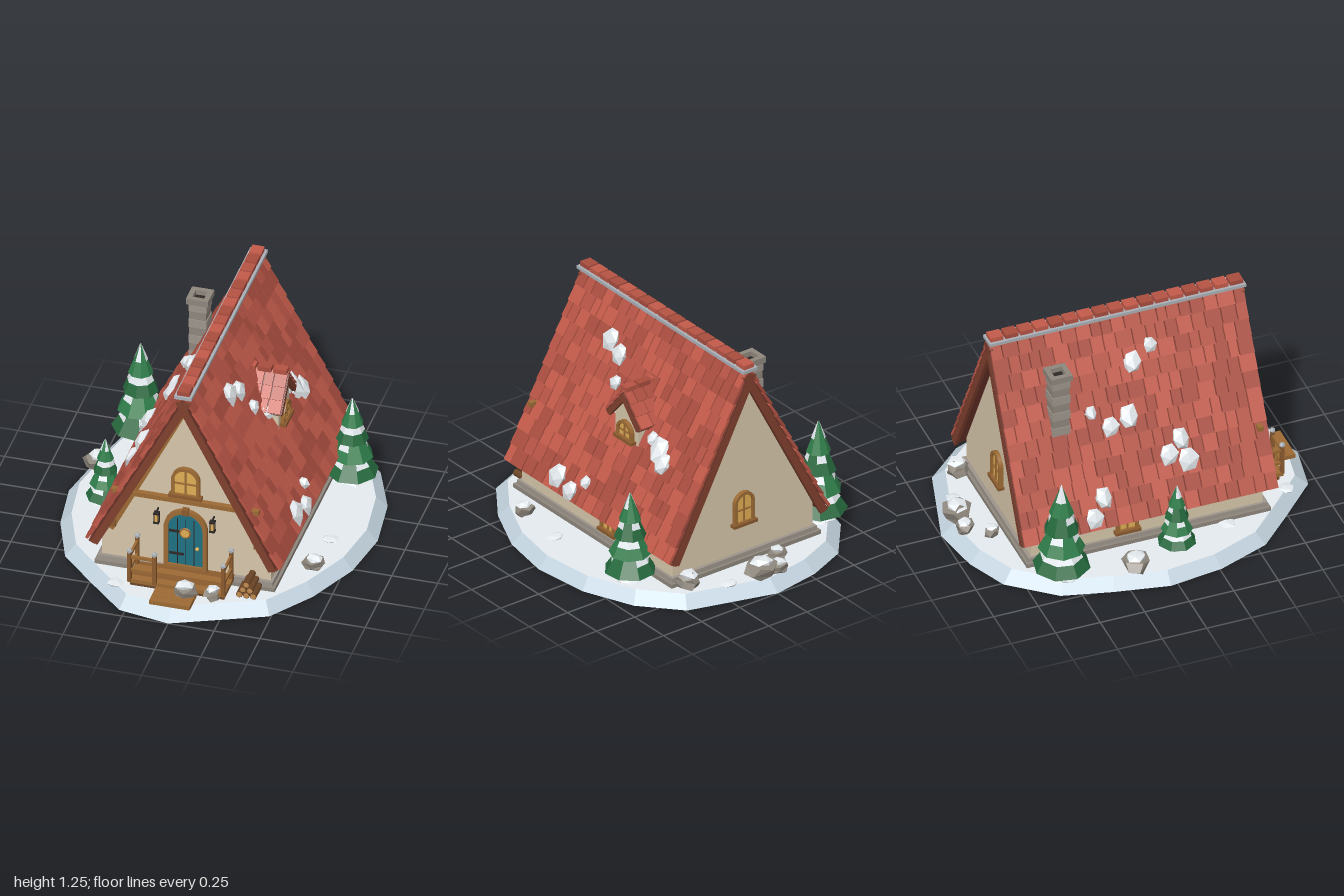
import * as THREE from 'three';
import { mergeGeometries } from 'three/addons/utils/BufferGeometryUtils.js';

const C = { snow: 0xe4eaee, ice: 0xc3d3de, wall: 0xd6c6aa, wood: 0x9c6a34, timber: 0x8a5a2e, bark: 0x6b4526, dark: 0x2b2826,
  stone: 0x8d867c, block: 0x9d958b, tiles: [0xc25a49, 0xa84c3e, 0xb55344], under: 0x6a3328, barge: 0x80402f,
  teal: 0x1f7182, gold: 0xdfae55, leaf: 0x2f7d4a, leafDark: 0x25693d, cap: 0xa9b0b6 };

let seed = 7;
const rnd = () => (seed = (seed * 16807) % 2147483647) / 2147483647;
const mat = (color, side = THREE.FrontSide) => new THREE.MeshStandardMaterial({ color, flatShading: true, side });

function add(parent, name, geo, color, x = 0, y = 0, z = 0) {
  const m = new THREE.Mesh(geo, mat(color));
  m.name = name;
  m.position.set(x, y, z);
  parent.add(m);
  return m;
}
const box = (p, name, color, w, h, d, x, y, z) => add(p, name, new THREE.BoxGeometry(w, h, d), color, x, y, z);
const extrude = (shape, depth) => new THREE.ExtrudeGeometry(shape, { depth, bevelEnabled: false, curveSegments: 10 });
const polygon = (pts) => new THREE.Shape(pts.map(([x, y]) => new THREE.Vector2(x, y)));
function group(parent, name, x = 0, y = 0, z = 0, ry = 0) {
  const g = new THREE.Group();
  g.name = name;
  g.position.set(x, y, z);
  g.rotation.y = ry;
  parent.add(g);
  return g;
}

// Arched outline standing on y = y0
function arch(w, h, y0 = 0) {
  const s = new THREE.Shape(), r = w / 2;
  s.moveTo(-r, y0);
  s.lineTo(r, y0);
  s.lineTo(r, y0 + h - r);
  s.absarc(0, y0 + h - r, r, 0, Math.PI, false);
  s.lineTo(-r, y0);
  return s;
}

// Arched frame with a filled pane, facing +z
function archOpening(parent, name, w, h, fill, x, y, z, ry = 0, t = 0.02) {
  const g = group(parent, name, x, y, z, ry);
  const frame = arch(w, h);
  frame.holes.push(arch(w - 2 * t, h - 2 * t, t));
  add(g, 'frame', extrude(frame, 0.032), C.wood, 0, 0, -0.008);
  add(g, 'panel', extrude(arch(w - 1.6 * t, h - 1.6 * t, t * 0.8), 0.018), fill, 0, 0, -0.006);
  return g;
}
function archWindow(parent, w, h, x, y, z, ry) {
  const g = archOpening(parent, 'window', w, h, C.gold, x, y, z, ry, 0.017);
  box(g, 'mullion', C.wood, 0.008, h - 0.02, 0.01, 0, h / 2, 0.014);
  box(g, 'transom', C.wood, w - 0.02, 0.008, 0.01, 0, h * 0.45, 0.014);
  box(g, 'sill', C.timber, w + 0.025, 0.018, 0.045, 0, 0.004, 0.012);
}

// Irregular lump: corners pushed in or out by a rule
function lump(geo, phase) {
  const p = geo.attributes.position;
  for (let i = 0; i < p.count; i++) {
    const x = p.getX(i), y = p.getY(i), z = p.getZ(i);
    const k = 1 + 0.16 * Math.sin(5 * x + 3 * y + 7 * z + phase);
    p.setXYZ(i, x * k, y * k, z * k);
  }
  geo.computeVertexNormals();
  return geo;
}
function snowPatch(parent, x, y, z, r, h) {
  add(parent, 'snowPatch', lump(new THREE.IcosahedronGeometry(1, 0), x * 40 + z * 9), C.snow, x, y, z).scale.set(r, h, r * 0.85);
}

// Tiled roof with two slopes, ridge along z
function gableRoof(parent, apexY, angle, len, depth, rows, tileW, t) {
  const roof = group(parent, 'roof');
  const slopes = [0, Math.PI].map((ry) => {
    const side = group(roof, 'roofSide', 0, apexY, 0, ry);
    const s = group(side, 'slope');
    s.rotation.z = -angle;
    box(s, 'roofDeck', C.under, len, t, depth, len / 2, -t / 2, 0);
    const sets = [[], [], []], pitch = len / rows;
    for (let r = 0; r < rows; r++) {
      let z = -depth / 2;
      while (z < depth / 2 - 0.001) {
        let w = tileW * (0.7 + 0.6 * rnd());
        if (depth / 2 - z - w < tileW * 0.5) w = depth / 2 - z;
        const g = new THREE.BoxGeometry(pitch * 1.08, t * 0.45, w - 0.007);
        g.rotateZ(0.09);
        g.translate((r + 0.5) * pitch, t * 0.42 + rnd() * 0.003, z + w / 2);
        sets[Math.floor(rnd() * 3)].push(g);
        z += w;
      }
    }
    sets.forEach((set, i) => set.length && add(s, 'tiles', mergeGeometries(set), C.tiles[i]));
    for (const e of [-1, 1]) box(s, 'bargeBoard', C.barge, len, t * 1.25, 0.02, len / 2, -t * 0.8, e * (depth / 2 - 0.008));
    box(s, 'fascia', C.barge, 0.012, t * 1.1, depth, len, -t * 0.4, 0);
    return s;
  });
  const n = Math.round(depth / 0.085), step = depth / n;
  for (let i = 0; i < n; i++)
    box(roof, 'ridgeTile', C.tiles[i % 3], t * 2, t * 1.1, step - 0.012, 0, apexY + t * 0.95, -depth / 2 + (i + 0.5) * step);
  return slopes;
}

function tree(parent, x, z, h, r, turn) {
  const g = group(parent, 'pineTree', x, 0.06, z, turn), N = 8, seg = (2 * Math.PI) / N;
  add(g, 'trunk', new THREE.CylinderGeometry(r * 0.16, r * 0.22, h * 0.3, 7), C.bark, 0, h * 0.15, 0);
  add(g, 'snowMound', lump(new THREE.IcosahedronGeometry(1, 1), x), C.snow).scale.set(r * 0.6, 0.018, r * 0.6);
  [0.1, 0.3, 0.5, 0.69].forEach((f, i) => {
    const rb = r * (1 - 0.19 * i), rt = i === 3 ? 0 : rb * 0.4, th = i === 3 ? h * 0.31 : h * 0.25, y0 = h * f;
    const tier = add(g, 'branches', new THREE.CylinderGeometry(rt, rb, th, N), i % 2 ? C.leaf : C.leafDark, 0, y0 + th / 2, 0);
    tier.rotation.y = i * 0.3;
    // Snow lying on the upper part of some facets
    for (const k of [i, i + 3, i + 5]) {
      const c = new THREE.CylinderGeometry(rt + 0.003, rt + (rb - rt) * 0.55 + 0.003, th * 0.55, 1 + (k % 2), 1, true, k * seg, (1 + (k % 2)) * seg);
      const m = add(g, 'branchSnow', c, C.snow, 0, y0 + th * 0.73, 0);
      m.material.side = THREE.DoubleSide;
      m.rotation.y = i * 0.3;
    }
  });
}

function rock(parent, x, z, r, h) {
  const g = group(parent, 'rock', x, 0.06, z, x * 5);
  add(g, 'stone', lump(new THREE.DodecahedronGeometry(1, 0), x * 9), C.stone, 0, h * 0.4, 0).scale.set(r, h * 0.52, r * 0.85);
  add(g, 'snowCap', lump(new THREE.IcosahedronGeometry(1, 0), z * 9), C.snow, 0, h * 0.77, 0).scale.set(r * 0.78, h * 0.25, r * 0.66);
}

export function createModel() {
  const model = new THREE.Group();
  model.name = 'snowyCabin';

  // Snowy ground slab with sloping rim
  const rim = [[0, -1], [0.49, -0.86], [0.68, -0.65], [0.8, -0.365], [0.84, -0.04], [0.79, 0.26], [0.66, 0.55], [0.49, 0.79], [0, 1],
    [-0.28, 0.95], [-0.5, 0.74], [-0.69, 0.55], [-0.8, 0.26], [-0.84, -0.04], [-0.78, -0.34], [-0.71, -0.61], [-0.51, -0.85], [-0.28, -0.95]];
  const slab = extrude(polygon(rim.map(([x, z]) => [x, -z])), 0.062).rotateX(-Math.PI / 2);
  const sp = slab.attributes.position;
  for (let i = 0; i < sp.count; i++) if (sp.getY(i) > 0.03) sp.setXYZ(i, sp.getX(i) * 0.93, sp.getY(i), sp.getZ(i) * 0.93);
  slab.computeVertexNormals();
  add(model, 'ground', slab, C.snow).material = [mat(C.snow), mat(C.ice)];

  // House body
  const house = group(model, 'house', -0.01, 0, -0.03);
  box(house, 'footing', C.stone, 0.98, 0.03, 1.37, 0, 0.07, 0);
  box(house, 'foundation', C.block, 0.95, 0.03, 1.34, 0, 0.095, 0);
  const gable = polygon([[-0.46, 0.1], [0.46, 0.1], [0.46, 0.285], [0, 1.165], [-0.46, 0.285]]);
  add(house, 'walls', extrude(gable, 1.3), C.wall, 0, 0, -0.65);

  // Main roof, ridge strip and snow patches
  const angle = Math.atan2(1, 0.52);
  const [right, left] = gableRoof(house, 1.2, angle, 1.1, 1.43, 12, 0.075, 0.033);
  box(house, 'ridgeStrip', C.cap, 0.095, 0.018, 1.44, 0, 1.216, 0);
  for (const [z, y, r] of [[0.27, 1, 0.07], [0.17, 0.96, 0.06], [0.12, 0.835, 0.045], [0.02, 0.74, 0.045], [-0.29, 0.7, 0.04],
    [-0.36, 0.66, 0.08], [-0.42, 0.62, 0.07], [0.26, 0.31, 0.075], [0.135, 0.28, 0.06], [0.05, 0.35, 0.035]])
    snowPatch(right, (1.21 - y) / 0.887, 0.028, z + 0.03, r, 0.032);
  for (const [x, z, r] of [[-0.47, -0.27, 0.06], [-0.51, -0.34, 0.06], [-0.26, -0.26, 0.04], [-0.3, -0.17, 0.06], [-0.29, -0.06, 0.07],
    [-0.16, 0.01, 0.065], [-0.125, 0.12, 0.045], [-0.4, 0.12, 0.065], [-0.42, 0.22, 0.07], [-0.37, 0.2, 0.06]])
    snowPatch(left, (-x - 0.035) / 0.461, 0.028, -z - 0.03, r, 0.032);

  // Gable timbers
  for (const s of [-1, 1]) {
    box(house, 'gableTimber', C.wood, 0.026, 0.92, 0.025, s * 0.2, 0.7, 0.66).rotation.z = s * Math.atan2(0.4, 0.81);
    box(house, 'purlinEnd', C.timber, 0.06, 0.045, 0.05, s * 0.405, 0.335, 0.66);
    archWindow(house, 0.12, 0.16, s * 0.46, 0.14, -0.115, s * Math.PI / 2);
  }
  box(house, 'collarBeam', C.wood, 0.8, 0.026, 0.03, 0, 0.535, 0.665);
  archWindow(house, 0.155, 0.18, 0, 0.56, 0.65, 0);
  archWindow(house, 0.13, 0.19, 0, 0.28, -0.65, Math.PI);

  // Front door
  const door = archOpening(house, 'door', 0.235, 0.37, C.teal, 0, 0.105, 0.65, 0, 0.024);
  for (const x of [-0.045, 0, 0.045]) box(door, 'plankGroove', C.dark, 0.004, 0.29, 0.004, x, 0.165, 0.012);
  for (const y of [0.09, 0.23]) box(door, 'hinge', C.dark, 0.08, 0.012, 0.008, -0.05, y, 0.016);
  add(door, 'porthole', new THREE.CylinderGeometry(0.026, 0.026, 0.02, 12).rotateX(Math.PI / 2), C.gold, 0, 0.23, 0.018);
  add(door, 'portholeRing', new THREE.TorusGeometry(0.027, 0.006, 6, 12), C.wood, 0, 0.23, 0.024);
  add(door, 'knob', new THREE.IcosahedronGeometry(0.011, 1), C.gold, 0.065, 0.14, 0.022);
  box(door, 'keystone', C.timber, 0.035, 0.035, 0.045, 0, 0.362, 0.01);

  // Lanterns
  for (const s of [-1, 1]) {
    const g = group(house, 'lantern', s * 0.152, 0.415, 0.685);
    box(g, 'glass', C.gold, 0.02, 0.045, 0.02, 0, 0, 0);
    for (const y of [-0.028, 0.028]) box(g, 'lanternPlate', C.dark, 0.03, 0.01, 0.03, 0, y, 0);
    for (const x of [-0.011, 0.011]) for (const z of [-0.011, 0.011]) box(g, 'lanternBar', C.dark, 0.005, 0.05, 0.005, x, 0, z);
    box(g, 'bracket', C.dark, 0.008, 0.008, 0.045, 0, 0.038, -0.016);
  }

  // Chimney of stacked blocks with a hollow cap
  const chimney = group(house, 'chimney', -0.232, 0, -0.41);
  for (let i = 0; i < 11; i++) {
    const w = i % 2 ? 0.092 : 0.1;
    box(chimney, 'course', i % 2 ? C.stone : C.block, w, 0.05, w, 0, 0.535 + i * 0.05, 0);
  }
  const ring = polygon([[-0.06, -0.06], [0.06, -0.06], [0.06, 0.06], [-0.06, 0.06]]);
  ring.holes.push(polygon([[-0.032, -0.032], [-0.032, 0.032], [0.032, 0.032], [0.032, -0.032]]));
  add(chimney, 'chimneyCap', extrude(ring, 0.035).rotateX(-Math.PI / 2), C.stone, 0, 1.058, 0);
  box(chimney, 'flue', C.dark, 0.07, 0.01, 0.07, 0, 1.06, 0);

  // Dormer on the right slope
  const dormer = group(house, 'dormer', 0, 0, -0.075, Math.PI / 2);
  add(dormer, 'dormerWalls', extrude(polygon([[-0.1, 0.56], [0.1, 0.56], [0.1, 0.79], [0, 0.895], [-0.1, 0.79]]), 0.26), C.wall, 0, 0, 0.06);
  archWindow(dormer, 0.13, 0.11, 0, 0.635, 0.32, 0);
  const dormerRoof = group(dormer, 'dormerRoof', 0, 0, 0.22);
  gableRoof(dormerRoof, 0.915, Math.atan2(0.17, 0.15), 0.215, 0.255, 3, 0.065, 0.024);

  // Porch deck, step and railings
  const porch = group(model, 'porch', -0.01, 0, 0);
  for (let i = 0; i < 4; i++) box(porch, 'deckPlank', i % 2 ? C.wood : C.timber, 0.53, 0.022, 0.047, 0, 0.099, 0.642 + i * 0.049);
  box(porch, 'deckFrame', C.bark, 0.51, 0.035, 0.17, 0, 0.075, 0.71);
  for (let i = 0; i < 3; i++) box(porch, 'stepPlank', C.wood, 0.22, 0.024, 0.043, 0, 0.074, 0.83 + i * 0.045);
  const post = (x, z) => {
    box(porch, 'railPost', C.timber, 0.02, 0.18, 0.02, x, 0.19, z);
    add(porch, 'postSnow', new THREE.IcosahedronGeometry(0.017, 0), C.cap, x, 0.284, z);
  };
  for (const s of [-1, 1]) {
    post(s * 0.255, 0.81);
    post(s * 0.255, 0.66);
    for (const y of [0.17, 0.25]) box(porch, 'sideRail', C.wood, 0.013, 0.016, 0.16, s * 0.255, y, 0.735);
  }
  post(-0.118, 0.81);
  for (const y of [0.17, 0.25]) box(porch, 'frontRail', C.wood, 0.14, 0.016, 0.013, -0.187, y, 0.81);

  // Firewood stack
  for (let row = 0; row < 3; row++) for (let i = 0; i < 3 - row; i++) {
    const x = 0.315 + row * 0.019 + i * 0.038, y = 0.08 + row * 0.033;
    add(model, 'log', new THREE.CylinderGeometry(0.019, 0.019, 0.12, 8).rotateX(Math.PI / 2), C.bark, x, y, 0.69);
    add(model, 'logEnd', new THREE.CylinderGeometry(0.015, 0.015, 0.124, 8).rotateX(Math.PI / 2), 0xc08a4e, x, y, 0.69);
  }

  // Trees and rocks
  tree(model, -0.6, -0.56, 0.575, 0.155, 0.2);
  tree(model, -0.605, 0.085, 0.395, 0.105, 0.9);
  tree(model, 0.575, -0.48, 0.505, 0.14, 0.5);
  for (const [x, z, r, h] of [[-0.72, -0.19, 0.085, 0.115], [0.615, 0.38, 0.06, 0.085], [0.04, 0.83, 0.065, 0.1], [0.185, 0.8, 0.05, 0.08],
    [0.03, -0.9, 0.095, 0.125], [-0.08, -0.9, 0.06, 0.08], [-0.165, -0.78, 0.05, 0.07], [0.4, -0.75, 0.07, 0.1]]) rock(model, x, z, r, h);
  for (const [x, z, r] of [[0.2, -0.85, 0.05], [-0.5, 0.4, 0.06], [0.62, 0.1, 0.05], [-0.35, 0.8, 0.05]]) snowPatch(model, x, 0.062, z, r, 0.012);
  return model;
}
